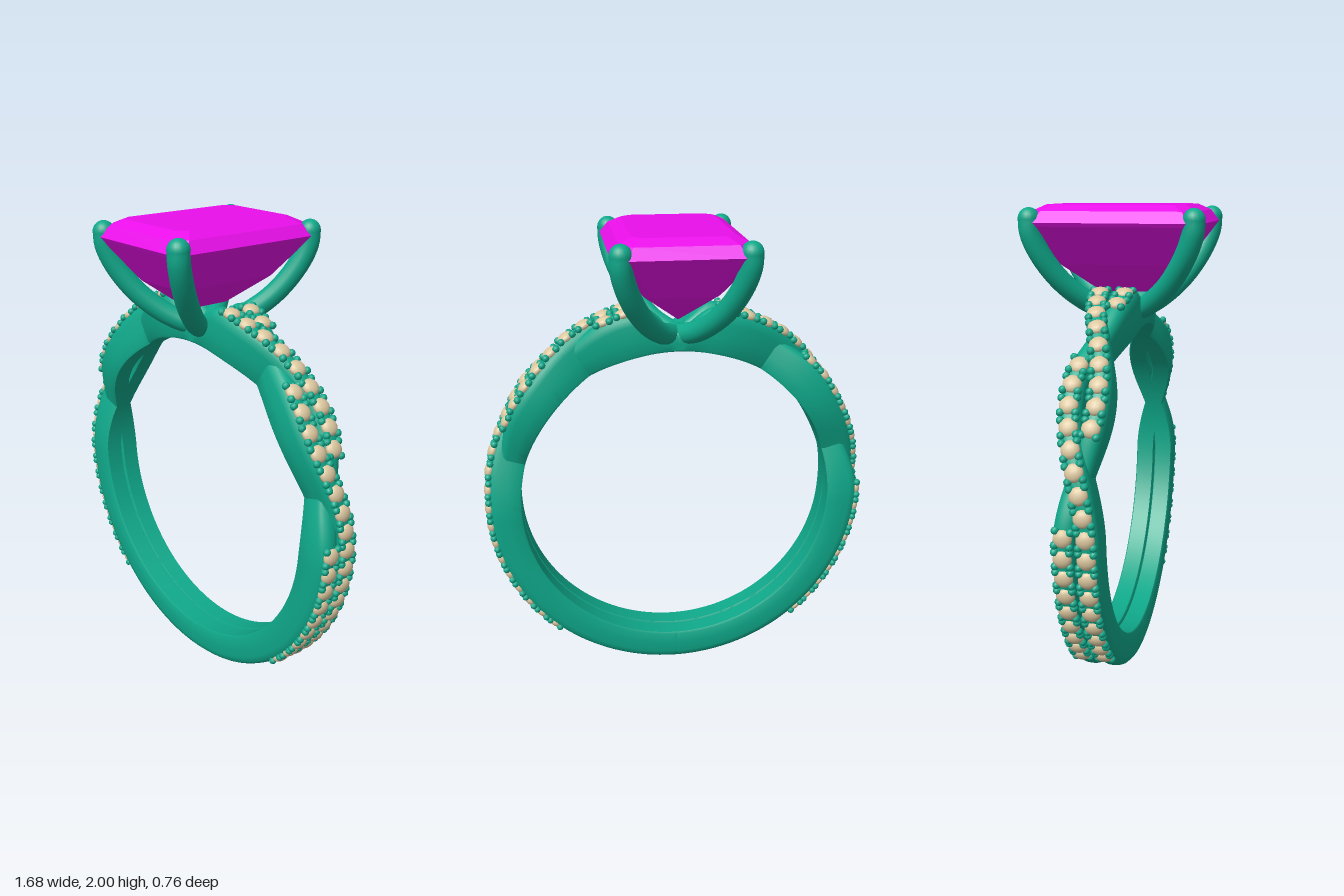
import * as THREE from 'three';
import { mergeGeometries, toCreasedNormals } from 'three/addons/utils/BufferGeometryUtils.js';

const CENTRE_Y = 0.82, INNER_R = 0.68;
const UPPER = 57.5, LOWER = 16; // angles in degrees where the strands cross
const { smoothstep, degToRad } = THREE.MathUtils;

const metal = new THREE.MeshStandardMaterial({ color: 0x0fa88a, side: THREE.DoubleSide });
const gemMat = new THREE.MeshStandardMaterial({ color: 0xea0fea, flatShading: true });
const stoneMat = new THREE.MeshStandardMaterial({ color: 0xdcc8a0 });

const bump = (deg, at, width) => 1 - smoothstep(Math.abs(deg - at), 0, width);

// Sideways weave of a strand: side +1 starts at +z below, -1 at -z
function strandZ(deg, side) {
  const t = THREE.MathUtils.clamp((deg + 4.5) / 41.5, 0, 2);
  return side * (0.046 + 0.006 * smoothstep(deg, 0, 30)) * Math.cos(Math.PI * t);
}

// Outer radius: swells to the shoulders, dips under the head, rises and sinks at crossings
function strandR(deg, side) {
  let r = 0.82 + 0.047 * smoothstep(deg, 15, 75) - 0.1 * smoothstep(deg, 79, 89);
  const up = bump(deg, UPPER, 16), low = bump(deg, LOWER, 16);
  r += side > 0 ? 0.008 * up - 0.03 * low : 0.008 * low - 0.03 * up;
  return r;
}

function strandPoint(deg, side, r = strandR(deg, side)) {
  const a = degToRad(deg);
  return new THREE.Vector3(r * Math.cos(a), CENTRE_Y + r * Math.sin(a), strandZ(deg, side));
}

// Join cross-section rings (all of equal length) into a skin
function skin(rings) {
  const n = rings[0].length, index = [];
  for (let i = 0; i < rings.length - 1; i++) {
    for (let j = 0; j < n; j++) {
      const a = i * n + j, b = i * n + (j + 1) % n;
      index.push(a, b, a + n, b, b + n, a + n);
    }
  }
  const g = new THREE.BufferGeometry().setFromPoints(rings.flat());
  g.setIndex(index);
  return g;
}

function strandGeometry(side) {
  // [half-width offset, share of the radial depth]; flat inside, domed outside
  const half = [[0.039, 0], [0.044, 0.06], [0.045, 0.4], [0.045, 0.72], [0.04, 0.87], [0.027, 0.96], [0.012, 0.995]];
  const section = [...half, [0, 1], ...half.map(([w, t]) => [-w, t]).reverse()];
  const rings = [];
  for (let i = 0; i <= 120; i++) {
    const deg = -90 + i * 1.5, outer = strandR(deg, side);
    // reversed z so the loop turns outward
    rings.push(section.map(([w, t]) => {
      const p = strandPoint(deg, side, INNER_R + (outer - INNER_R) * t);
      p.z += w;
      return p;
    }));
  }
  return toCreasedNormals(skin(rings), 0.7);
}

// Small stones with four corner beads each, laid along a strand
function pave(side) {
  const stones = [], beads = [];
  for (let i = 0; i < 22; i++) {
    const deg = -46.5 + i * 5.8;
    const hidden = side > 0 ? [LOWER, 11] : [UPPER, 9];
    if (Math.abs(deg - hidden[0]) < hidden[1]) continue;
    const p = strandPoint(deg, side);
    const T = strandPoint(deg + 0.5, side).sub(strandPoint(deg - 0.5, side));
    const R = new THREE.Vector3(Math.cos(degToRad(deg)), Math.sin(degToRad(deg)), 0);
    T.addScaledVector(R, -T.dot(R)).normalize();
    const m = new THREE.Matrix4().makeBasis(T, R.clone().cross(T), R).setPosition(p);
    stones.push(new THREE.SphereGeometry(0.037, 14, 8).scale(1, 1, 0.6).translate(0, 0, -0.004).applyMatrix4(m));
    for (const u of [-1, 1]) for (const v of [-1, 1]) {
      beads.push(new THREE.SphereGeometry(0.016, 8, 6).translate(u * 0.029, v * 0.029, -0.002).applyMatrix4(m));
    }
  }
  return { stones, beads };
}

function createHalfShank() {
  const half = new THREE.Group();
  const stones = [], beads = [];
  for (const side of [1, -1]) {
    const strand = new THREE.Mesh(strandGeometry(side), metal);
    strand.name = side > 0 ? 'strandFront' : 'strandBack';
    half.add(strand);
    const set = pave(side);
    stones.push(...set.stones);
    beads.push(...set.beads);
  }
  const stoneMesh = new THREE.Mesh(mergeGeometries(stones), stoneMat);
  stoneMesh.name = 'bandStones';
  const beadMesh = new THREE.Mesh(mergeGeometries(beads), metal);
  beadMesh.name = 'stoneBeads';
  half.add(stoneMesh, beadMesh);
  return half;
}

// Step-cut rectangular gem with clipped corners: [y, half x, half z, corner cut]
function createGem() {
  const layers = [
    [1.64, 0.004, 0.1, 0.002], [1.76, 0.15, 0.25, 0.035], [1.915, 0.275, 0.358, 0.055],
    [1.93, 0.285, 0.368, 0.055], [1.975, 0.25, 0.335, 0.05], [2.0, 0.2, 0.285, 0.04],
  ];
  const rings = layers.map(([y, x, z, c]) =>
    [[x, z - c], [x, c - z], [x - c, -z], [c - x, -z], [-x, c - z], [-x, z - c], [c - x, z], [x - c, z]]
      .map(([px, pz]) => new THREE.Vector3(px, y, pz)));
  const g = skin(rings);
  const index = [...g.index.array], top = 8 * (layers.length - 1);
  for (let j = 1; j < 7; j++) index.push(top, top + j, top + j + 1);
  g.setIndex(index);
  const flat = g.toNonIndexed();
  flat.computeVertexNormals();
  const gem = new THREE.Mesh(flat, gemMat);
  gem.name = 'centreGem';
  return gem;
}

// Four claws sweeping out of the head base, each with a round tip
function createHead() {
  const head = new THREE.Group();
  head.name = 'head';
  for (const sx of [1, -1]) for (const sz of [1, -1]) {
    const path = [[0, 1.55, 0.02], [0.085, 1.595, 0.12], [0.165, 1.685, 0.22], [0.222, 1.8, 0.295], [0.246, 1.89, 0.329], [0.248, 1.945, 0.333]]
      .map(([x, y, z]) => new THREE.Vector3(sx * x, y, sz * z));
    const claw = new THREE.Group();
    claw.name = 'claw';
    const stem = new THREE.Mesh(new THREE.TubeGeometry(new THREE.CatmullRomCurve3(path), 32, 0.045, 16), metal);
    stem.name = 'clawStem';
    const tip = new THREE.Mesh(new THREE.SphereGeometry(0.045, 20, 14), metal);
    tip.name = 'clawTip';
    tip.position.copy(path[5]);
    claw.add(stem, tip);
    head.add(claw);
  }
  const base = new THREE.Mesh(new THREE.SphereGeometry(0.05, 20, 14).scale(1.1, 1, 1.9), metal);
  base.name = 'headBase';
  base.position.y = 1.55;
  head.add(base);
  return head;
}

export function createModel() {
  const ring = new THREE.Group();
  ring.name = 'ring';
  const left = createHalfShank();
  left.name = 'leftShank';
  const right = left.clone();
  right.name = 'rightShank';
  right.rotation.y = Math.PI;
  ring.add(left, right, createHead(), createGem());
  return ring;
}
